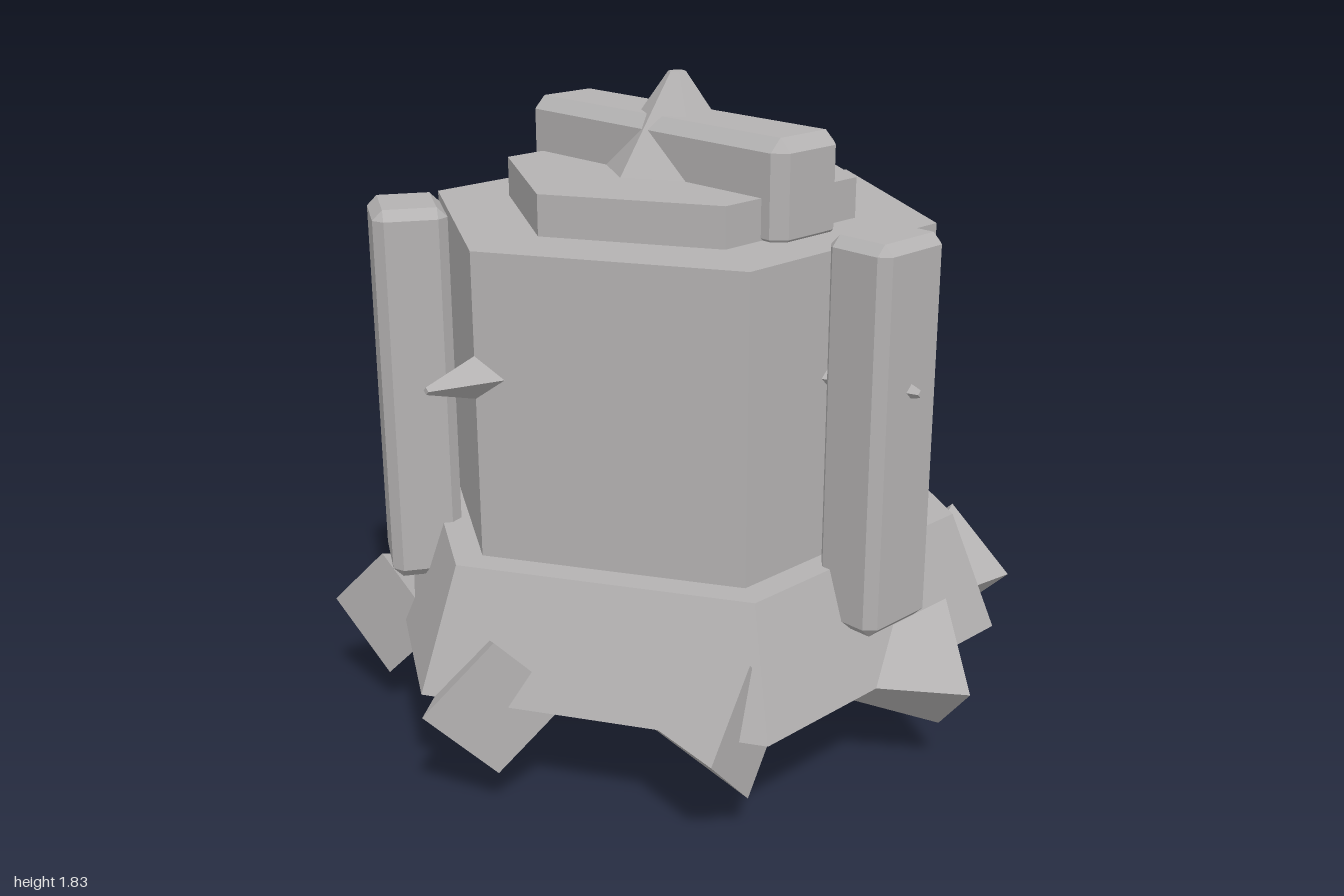
import * as THREE from 'three';
import { ConvexGeometry } from 'three/addons/geometries/ConvexGeometry.js';

// Faceted prism or frustum standing on the y axis from y0 to y1
function prism(rTop, rBottom, y0, y1, sides) {
  const g = new THREE.CylinderGeometry(rTop, rBottom, y1 - y0, sides).toNonIndexed();
  g.translate(0, (y0 + y1) / 2, 0);
  g.computeVertexNormals();
  return g;
}

// Box with all edges and corners chamfered by c
function chamferBox(w, h, d, c) {
  const points = [];
  for (const sx of [-1, 1]) for (const sy of [-1, 1]) for (const sz of [-1, 1]) {
    for (let axis = 0; axis < 3; axis++) {
      const inset = [0, 1, 2].map((i) => (i === axis ? 0 : c));
      points.push(new THREE.Vector3(
        sx * (w / 2 - inset[0]), sy * (h / 2 - inset[1]), sz * (d / 2 - inset[2])));
    }
  }
  return new ConvexGeometry(points);
}

export function createModel() {
  const model = new THREE.Group();
  const stone = new THREE.MeshStandardMaterial({ color: 0xb4b2b2 });
  stone.name = 'stone grey';

  function add(name, geometry, parent = model) {
    const mesh = new THREE.Mesh(geometry, stone);
    mesh.name = name;
    parent.add(mesh);
    return mesh;
  }

  // Hexagonal tower
  add('skirt', prism(0.8, 0.93, 0.305, 0.635, 6));
  add('body', prism(0.713, 0.713, 0.62, 1.46, 6));
  add('topPlate', prism(0.495, 0.495, 1.45, 1.57, 6));

  // Stepped discs underneath
  add('lowerDisc', prism(0.57, 0.57, 0.245, 0.31, 16));
  add('bottomDisc', prism(0.335, 0.335, 0.22, 0.26, 16));

  // Cross bar and finial on top
  add('topBar', chamferBox(0.985, 0.29, 0.24, 0.035)).position.y = 1.577;
  add('finial', prism(0.025, 0.21, 1.57, 1.83, 6));

  // Three upright pillars
  for (let i = 0; i < 3; i++) {
    const pivot = new THREE.Group();
    pivot.name = 'pillar' + (i + 1);
    pivot.rotation.y = (i * Math.PI * 2) / 3;
    add('pillarBlock', chamferBox(0.195, 1.04, 0.24, 0.027), pivot).position.set(0.738, 0.995, 0);
    model.add(pivot);
  }

  // Four slim spikes on the body
  for (let i = 0; i < 4; i++) {
    const g = prism(0.01, 0.108, 0.55, 0.865, 4);
    g.rotateX(Math.PI / 2);
    const spike = add('bodySpike' + (i + 1), g);
    spike.position.y = 1.13;
    spike.rotation.y = (i * Math.PI) / 2;
  }

  // Eight slanted spikes around the skirt, pointing inward
  for (let i = 0; i < 8; i++) {
    const pivot = new THREE.Group();
    pivot.name = 'skirtSpike' + (i + 1);
    pivot.rotation.y = (i * Math.PI) / 4;
    const g = prism(0, 0.19, 0, 0.456, 4);
    g.rotateX(Math.PI / 2);
    const spike = add('spikeCone', g, pivot);
    spike.position.set(0.195, 0.305, 0.835);
    spike.rotation.y = (-2 * Math.PI) / 3;
    model.add(pivot);
  }

  // Large spike lying under the base, pointing backward
  const keel = prism(0, 0.305, 0, 1.08, 4);
  keel.rotateX(-Math.PI / 2);
  add('underSpike', keel).position.set(0, 0.305, 0.1);

  return model;
}
